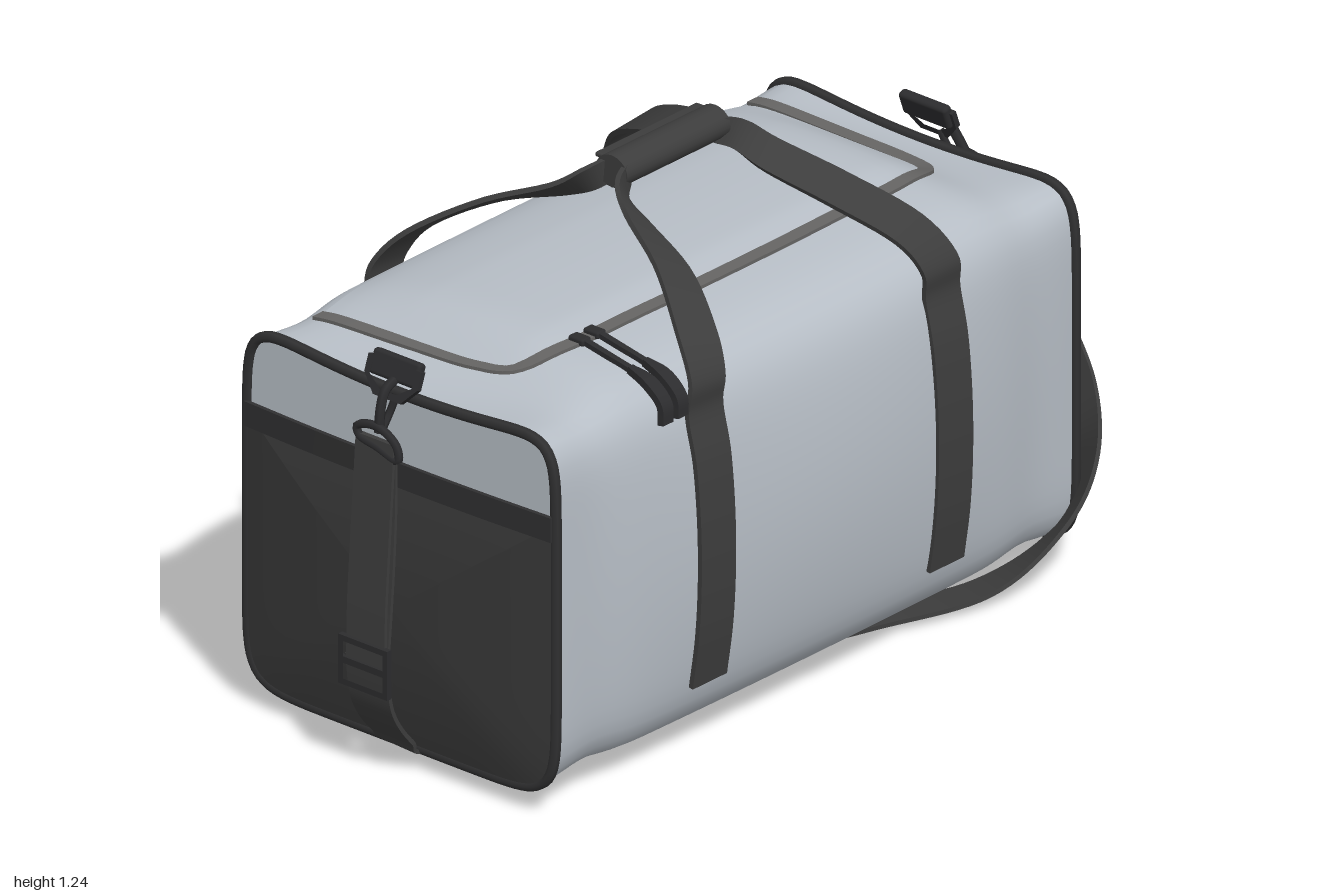
import * as THREE from 'three';
import { toCreasedNormals } from 'three/addons/utils/BufferGeometryUtils.js';
import { RoundedBoxGeometry } from 'three/addons/geometries/RoundedBoxGeometry.js';

const mat = (name, color) => Object.assign(new THREE.MeshStandardMaterial({ color }), { name });
const V = (x, y, z) => new THREE.Vector3(x, y, z);
const END = 0.865, N = 9, SHIFT = -0.008;

// Surface patch from f(u, v); faces point along du x dv.
function grid(nu, nv, f) {
  const pos = [], idx = [];
  for (let i = 0; i <= nu; i++) for (let j = 0; j <= nv; j++) {
    pos.push(...f(i / nu, j / nv, i, j));
    if (i < nu && j < nv) {
      const a = i * (nv + 1) + j, b = a + nv + 1;
      idx.push(a, b, b + 1, a, b + 1, a + 1);
    }
  }
  const g = new THREE.BufferGeometry();
  g.setAttribute('position', new THREE.Float32BufferAttribute(pos, 3));
  g.setIndex(idx);
  g.computeVertexNormals();
  return g;
}

// Soft bag shape: nz, ny lie on a unit rounded square, x runs along the bag.
function place(x, nz, ny) {
  const u = Math.min(Math.abs(x) / END, 1), k = Math.cos(u * Math.PI / 2);
  const pinch = 0.012 * Math.exp(-(((u - 0.84) / 0.1) ** 2));
  const top = 0.042 - 0.08 * THREE.MathUtils.smoothstep(u, 0.65, 1);
  const puff = ny > 0 ? top * ny ** 6 : -0.02 * k * ny ** 6;
  return [x, 0.5 + ny * (0.445 - pinch) + puff * (1 - nz * nz),
    SHIFT + nz * (0.455 - 0.6 * pinch + 0.068 * k * (1 - ny * ny))];
}
function section(x, a) {
  const s = Math.sin(a), c = -Math.cos(a);
  const r = (Math.abs(s) ** N + Math.abs(c) ** N) ** (-1 / N);
  return place(x, r * s, r * c);
}
function topY(x, z) {
  const nz = Math.min(Math.abs((z - SHIFT) / 0.455), 0.999);
  return place(x, nz, (1 - nz ** N) ** (1 / N))[1];
}
function sideZ(x, y, sz) {
  const ny = (y - 0.5) / 0.445;
  return place(x, sz * (1 - Math.abs(ny) ** N) ** (1 / N), ny)[2];
}

// Flat webbing through rows [x, y, z, half-width vector x, y, z].
function strap(rows, thick = 0.006, steps = 40) {
  const path = new THREE.CatmullRomCurve3(rows.map(r => V(r[0], r[1], r[2])), false, 'catmullrom');
  const side = new THREE.CatmullRomCurve3(rows.map(r => V(r[3], r[4], r[5])), false, 'catmullrom');
  const ring = [[-1, 1], [1, 1], [1, -1], [-1, -1], [-1, 1]];
  const g = grid(steps + 2, 4, (u, v, i, j) => {
    const t = THREE.MathUtils.clamp((i - 1) / steps, 0, 1);
    const p = path.getPoint(t), a = side.getPoint(t);
    if (i === 0 || i === steps + 2) return p.toArray();
    const n = path.getTangent(t).cross(a).normalize();
    return p.addScaledVector(a, ring[j][0]).addScaledVector(n, ring[j][1] * thick).toArray();
  });
  return toCreasedNormals(g, 0.7);
}

export function createModel() {
  const bag = new THREE.Group();
  bag.name = 'duffelBag';
  const fabric = mat('greyFabric', 0xb7bec6);
  const webbing = mat('darkWebbing', 0x3d3d3d);
  const pocketMat = mat('pocketMesh', 0x383838);
  const trim = mat('piping', 0x303031);
  const zipMat = mat('zipTape', 0x666564);
  const hard = mat('blackHardware', 0x2c2c2e);
  fabric.side = pocketMat.side = THREE.DoubleSide;
  const add = (name, geo, m, parent = bag) => {
    const mesh = new THREE.Mesh(geo, m);
    mesh.name = name;
    parent.add(mesh);
    return mesh;
  };
  const tube = (pts, r, closed = false, n = 24, type = 'centripetal') =>
    new THREE.TubeGeometry(new THREE.CatmullRomCurve3(pts, closed, type), n, r, 6, closed);

  // Body and raised lid
  add('body', grid(56, 120, (u, v) => section((u * 2 - 1) * END, v * Math.PI * 2)), fabric);
  add('lid', grid(40, 24, (u, v) => {
    const x = (u * 2 - 1) * 0.7, z = 0.19 - v * 0.57;
    const edge = Math.min(1, 8 * Math.min(u, 1 - u)) * Math.min(1, 10 * v, 3 * (1 - v));
    return [x, topY(x, z) + 0.002 + 0.011 * edge, z];
  }), fabric);

  // End panels and piping
  for (const s of [1, -1]) {
    add('endPanel', grid(10, 120, (r, v) => {
      const [, y, z] = section(s * END, s * -v * Math.PI * 2);
      return [s * END - (s > 0 ? 0.012 * (1 - r * r) : 0), 0.5 + (y - 0.5) * r, z * r];
    }), fabric);
    const rim = Array.from({ length: 96 }, (_, i) => V(...section(s * END, i / 96 * Math.PI * 2)));
    add('endPiping', tube(rim, 0.013, true, 192), trim);
  }

  // Bulging pocket on one end with a band along its mouth
  add('endPocket', grid(10, 120, (r, v) => {
    const [, y, z] = section(-END, v * Math.PI * 2);
    return [-0.872 - 0.038 * (1 - r * r), 0.4 + (Math.min(y, 0.73) - 0.4) * r, z * r];
  }), pocketMat);
  add('pocketBand', strap([-0.46, -0.25, 0, 0.23, 0.445].map(z =>
    [-0.876 - 0.012 * (1 - (z / 0.46) ** 2), 0.72, z, 0, 0.03, 0]), 0.005), trim);

  // U-shaped zip on the top
  const zipPath = new THREE.CatmullRomCurve3([[-0.725, -0.38], [-0.715, -0.1], [-0.705, 0.07], [-0.68, 0.16],
    [-0.6, 0.2], [-0.3, 0.212], [0, 0.215], [0.3, 0.212], [0.61, 0.2], [0.69, 0.16], [0.72, 0.07],
    [0.73, -0.1], [0.735, -0.39]].map(([x, z]) => V(x, 0, z)));
  add('zip', strap(Array.from({ length: 70 }, (_, i) => {
    const p = zipPath.getPointAt(i / 69), t = zipPath.getTangentAt(i / 69);
    return [p.x, topY(p.x, p.z) + 0.005, p.z, -t.z * 0.018, 0, t.x * 0.018];
  }), 0.004, 138), zipMat);

  // Zip sliders and pulls draped over the front edge
  for (const x of [-0.525, -0.475]) {
    add('zipSlider', new RoundedBoxGeometry(0.03, 0.018, 0.045, 2, 0.006), hard).position.set(x, 0.988, 0.215);
    const pull = [[0.22, 0.99], [0.3, 0.978], [0.37, 0.968], [0.43, 0.955], [0.478, 0.92], [0.486, 0.875]];
    const rows = pull.map(([z, y], i) => [x - i * 0.004, y, z, 0.008 + (i > 2 ? 0.009 : 0), 0, 0]);
    add('zipCord', strap(rows.slice(0, 4), 0.006, 12), hard);
    add('zipPull', strap(rows.slice(2), 0.009, 16), hard);
  }

  // Carry handles: four mirrored runs of webbing meeting in the grip
  for (const sx of [1, -1]) for (const sz of [1, -1]) {
    const face = [0.19, 0.32, 0.46, 0.6, 0.74, 0.85].map(y =>
      [sx * 0.395, y, sideZ(0.395, y, sz) + sz * 0.007, sx * 0.057, 0, 0]);
    const arch = [[0.387, 0.925, 0.468, 0.056, 0.005, 0], [0.352, 1.005, 0.405, 0.053, 0.012, -0.01],
      [0.275, 1.085, 0.27, 0.045, 0.018, -0.012], [0.222, 1.14, 0.12, 0.033, 0.024, -0.008],
      [0.195, 1.178, 0.05, 0.018, 0.03, 0], [0.14, 1.2, 0.02, 0, 0.03, 0]]
      .map(([x, y, z, a, b, c]) => [sx * x, y, sz * z, sx * a, b, sz * c]);
    add('handleStrap', strap([...face, ...arch], 0.006, 60), webbing);
  }
  const grip = add('handleGrip', new THREE.CylinderGeometry(0.046, 0.046, 0.345, 20), webbing);
  grip.rotation.z = Math.PI / 2;
  grip.scale.x = 0.85;
  grip.position.set(0.002, 1.202, -0.004);
  add('gripFlap', new RoundedBoxGeometry(0.34, 0.012, 0.05, 2, 0.005), webbing).position.set(0, 1.228, -0.03);

  // Tabs, rings and swivel hooks at both ends
  const frame = (w1, w2, h, t) => {
    const outline = (path, d) => path.moveTo(-w1 + d, h - d).lineTo(w1 - d, h - d).lineTo(w1 - d, 0)
      .lineTo(w2 - d, -h + d).lineTo(-w2 + d, -h + d).lineTo(-w1 + d, 0).closePath();
    const shape = outline(new THREE.Shape(), 0);
    shape.holes.push(outline(new THREE.Path(), t));
    return new THREE.ExtrudeGeometry(shape, { depth: 0.014, bevelEnabled: false })
      .translate(0, 0, -0.007).rotateY(Math.PI / 2);
  };
  for (const s of [1, -1]) {
    const clip = new THREE.Group();
    clip.name = 'strapClip';
    bag.add(clip);
    const dz = s > 0 ? 0.06 : 0;
    const tab = add('clipTab', new RoundedBoxGeometry(0.026, 0.06, 0.14, 2, 0.009), hard, clip);
    tab.position.set(s * 0.882, 0.975, -0.006);
    tab.rotation.z = s * 0.35;
    const ring = add('clipRing', frame(0.078, 0.04, 0.042, 0.016), hard, clip);
    ring.position.set(s * 0.898, 0.95, -0.006);
    ring.rotation.z = s * 0.35;
    add('hook', tube([V(s * 0.9, 0.955, 0), V(s * 0.93, 0.94, dz * 0.1), V(s * 0.945, 0.9, dz * 0.4),
      V(s * 0.95, 0.845, dz)], 0.012), hard, clip);
    add('hookGate', tube([V(s * 0.905, 0.925, 0.012), V(s * 0.915, 0.88, dz * 0.5),
      V(s * 0.945, 0.84, dz)], 0.009), hard, clip);
    add('hookEye', tube([[-0.06, 0.015], [0, 0.03], [0.055, 0.0], [0.06, -0.035], [0, -0.02], [-0.055, -0.005]]
      .map(([z, y]) => V(s * 0.955, 0.83 + y, dz + z)), 0.01, true, 36), hard, clip);
  }

  // Shoulder strap: hangs from one hook, passes under the bag, rises at the other end
  add('shoulderStrap', strap([
    [0.955, 0.825, 0.06, 0, 0.025, 0.058], [0.982, 0.66, 0.155, 0, 0.035, 0.056],
    [0.985, 0.52, 0.25, 0.004, 0.042, 0.05], [0.945, 0.37, 0.385, 0.008, 0.046, 0.042],
    [0.888, 0.25, 0.462, -0.018, 0.034, 0.044], [0.79, 0.125, 0.462, -0.025, 0.03, 0.045],
    [0.6, 0.026, 0.395, -0.02, 0.014, 0.058], [0.3, 0.032, 0.3, -0.015, 0, 0.06],
    [0, 0.03, 0.2, -0.015, 0, 0.06], [-0.45, 0.037, 0.08, -0.015, 0, 0.06],
    [-0.83, 0.045, 0.0, -0.008, 0, 0.06], [-0.9, 0.085, -0.005, 0, 0, 0.06],
    [-0.965, 0.18, -0.005, 0, 0, 0.06], [-0.985, 0.3, -0.005, 0, 0, 0.06],
  ], 0.005, 130), webbing);
  const rise = xs => xs.map((x, i) => [x, 0.29 + 0.135 * i, -0.005, 0, 0, 0.056]);
  add('strapOuterLayer', strap(rise([-0.987, -0.984, -0.975, -0.965, -0.955]), 0.004), webbing);
  add('strapInnerLayer', strap(rise([-0.978, -0.966, -0.956, -0.95, -0.95]), 0.004), webbing);
  add('strapAdjuster', frame(0.072, 0.072, 0.06, 0.014), hard).position.set(-0.992, 0.285, -0.005);
  add('adjusterBar', new THREE.BoxGeometry(0.012, 0.016, 0.14), hard).position.set(-0.992, 0.285, -0.005);

  return bag;
}
